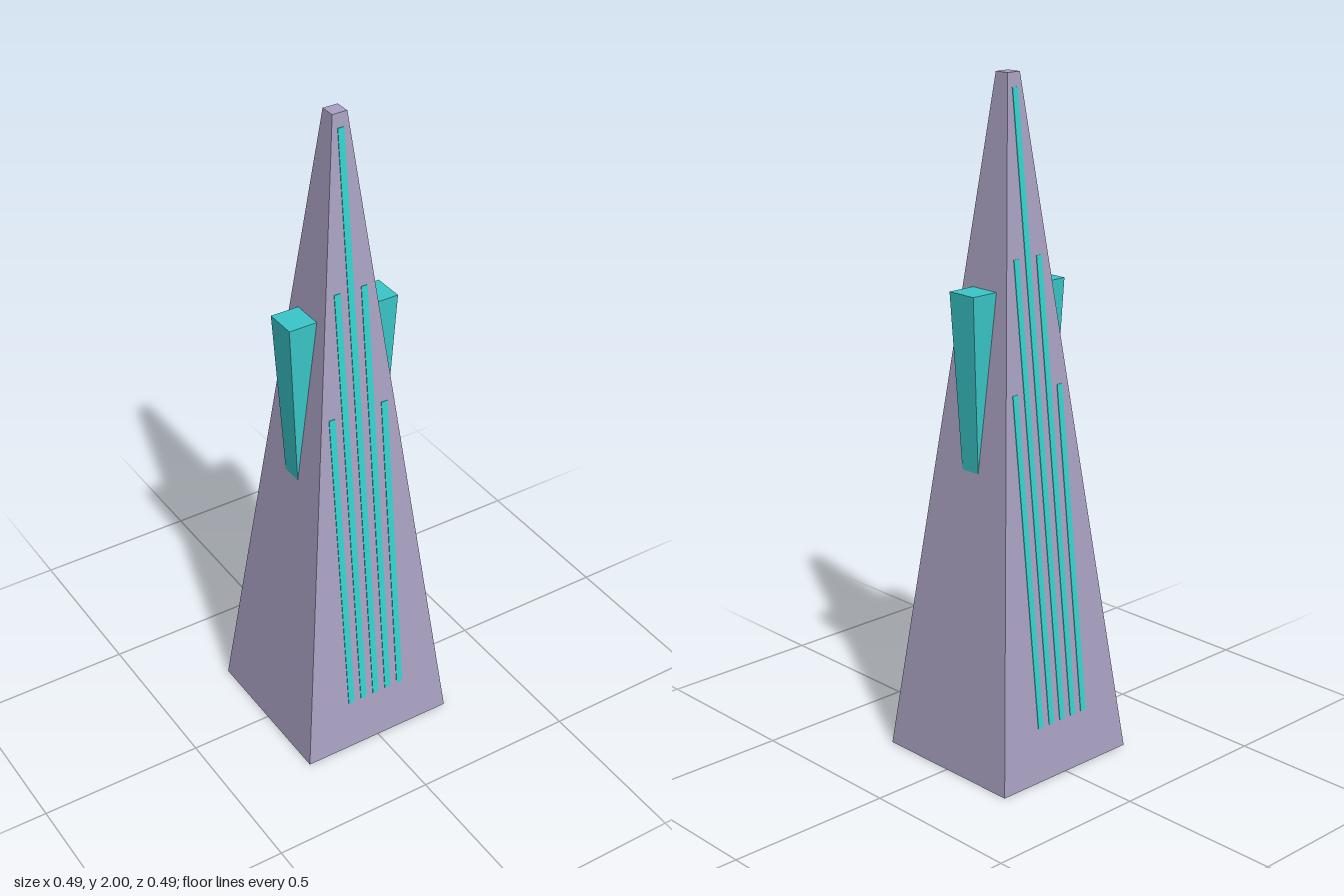
import * as THREE from 'three';

const BASE = 0.245, TIP = 0.023, HEIGHT = 2;
const wallAt = (y) => BASE + (TIP - BASE) * y / HEIGHT;

export function createModel() {
  const stone = new THREE.MeshStandardMaterial({ color: 0xa8a0c0, flatShading: true, side: THREE.DoubleSide });
  stone.name = 'pale violet stone';
  const teal = new THREE.MeshStandardMaterial({ color: 0x3ac6c8, flatShading: true });
  teal.name = 'teal';
  const glow = new THREE.MeshStandardMaterial({ color: 0x32d2ce, flatShading: true });
  glow.name = 'bright teal';

  const model = new THREE.Group();
  const add = (parent, geometry, material, name) => {
    const mesh = new THREE.Mesh(geometry, material);
    mesh.name = name;
    parent.add(mesh);
    return mesh;
  };

  // Tapered square tower, hollow and open underneath
  const walls = new THREE.CylinderGeometry(TIP * Math.SQRT2, BASE * Math.SQRT2, HEIGHT, 4, 1, true);
  walls.rotateY(Math.PI / 4).translate(0, HEIGHT / 2, 0);
  add(model, walls, stone, 'towerWalls');
  const cap = new THREE.PlaneGeometry(TIP * 2, TIP * 2).rotateX(-Math.PI / 2).translate(0, HEIGHT, 0);
  add(model, cap, stone, 'towerCap');

  // Light strips lying in the front and back walls
  const lean = Math.atan((BASE - TIP) / HEIGHT);
  const bottom = 0.16;
  const tops = [1.13, 1.5, 1.96, 1.5, 1.13];
  for (const [name, turn] of [['frontStrips', 0], ['backStrips', Math.PI]]) {
    const strips = new THREE.Group();
    strips.name = name;
    strips.rotation.y = turn;
    tops.forEach((top, i) => {
      const middle = (bottom + top) / 2;
      const length = (top - bottom) / Math.cos(lean);
      const strip = add(strips, new THREE.BoxGeometry(0.02, length, 0.004), glow, 'lightStrip');
      strip.position.set((i - 2) * 0.043, middle, wallAt(middle));
      strip.rotation.x = -lean;
    });
    model.add(strips);
  }

  // Wedge pods that taper down into the side walls
  const podTop = 1.41, podBottom = 0.7;
  for (const [name, turn] of [['leftPod', 0], ['rightPod', Math.PI]]) {
    const pod = new THREE.BoxGeometry(1, 1, 1);
    const p = pod.attributes.position;
    for (let i = 0; i < p.count; i++) {
      const up = p.getY(i) > 0;
      const outer = up ? 0.175 : 0.135;
      const inner = up ? 0.079 : 0.075;
      p.setXYZ(i, p.getX(i) > 0 ? outer : inner, up ? podTop : podBottom,
        Math.sign(p.getZ(i)) * (up ? 0.048 : 0.027));
    }
    pod.computeVertexNormals();
    add(model, pod, teal, name).rotation.y = turn;
  }
  return model;
}
